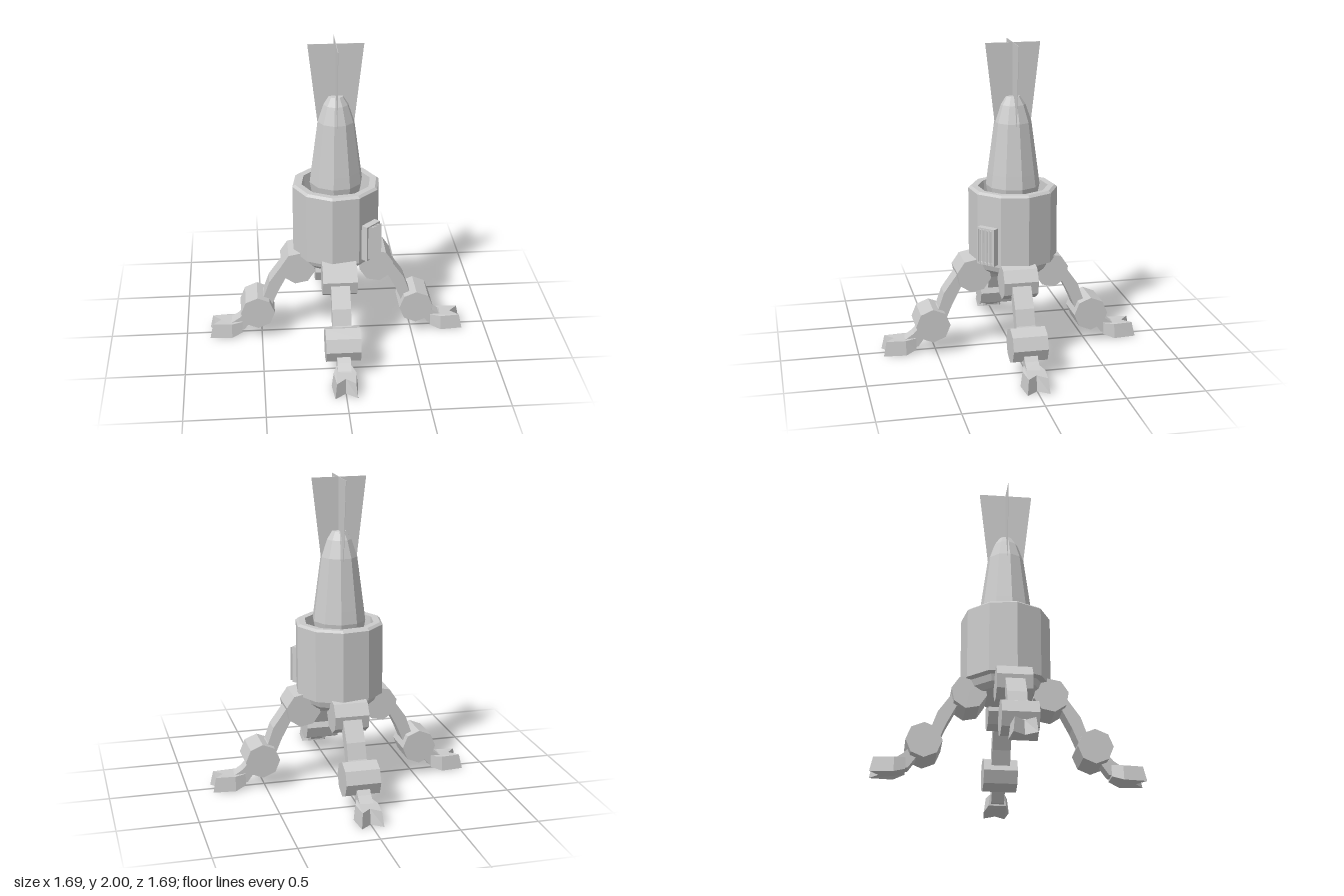
import * as THREE from 'three';

const grey = new THREE.MeshStandardMaterial({ color: 0xcccccc, flatShading: true, side: THREE.DoubleSide });
const START = THREE.MathUtils.degToRad(27);

function add(parent, name, geometry) {
  const mesh = new THREE.Mesh(geometry, grey);
  mesh.name = name;
  parent.add(mesh);
  return mesh;
}

const toVectors = (points) => points.map(([x, y]) => new THREE.Vector2(x, y));

// Ten-sided turned part
const turned = (points) => new THREE.LatheGeometry(toVectors(points), 10, START);

// Flat outline with a thickness, centred on z = 0
function slab(points, depth) {
  const geometry = new THREE.ExtrudeGeometry(new THREE.Shape(toVectors(points)), { depth, bevelEnabled: false });
  return geometry.translate(0, 0, -depth / 2);
}

// Eight-sided joint lying across the leg
const joint = (x, y, turn) =>
  new THREE.CylinderGeometry(0.112, 0.112, 0.22, 8).rotateX(Math.PI / 2).rotateZ(turn).translate(x, y, 0);

// Notched foot with a raised heel and a toe that leans back
function footGeometry() {
  const geometry = slab([
    [0.63, -0.058], [0.70, -0.083], [0.845, -0.07], [0.79, 0],
    [0.845, 0.07], [0.70, 0.083], [0.63, 0.058],
  ], 0.095).rotateX(-Math.PI / 2).translate(0, 0.0475, 0);
  const p = geometry.attributes.position;
  for (let i = 0; i < p.count; i++) {
    const x = p.getX(i), top = p.getY(i) > 0.05;
    if (x < 0.65) p.setY(i, top ? 0.1 : 0.025);
    if (x > 0.75 && top) p.setX(i, x - 0.02);
    if (top) p.setZ(i, p.getZ(i) * 0.85);
  }
  return geometry;
}

function createLeg() {
  const leg = new THREE.Group();
  add(leg, 'hipJoint', joint(0.255, 0.522, 0.2));
  add(leg, 'upperLink', slab([
    [0.27, 0.47], [0.33, 0.44], [0.39, 0.325], [0.43, 0.23], [0.5, 0.2],
    [0.5, 0.27], [0.48, 0.3], [0.445, 0.4], [0.36, 0.52], [0.28, 0.55],
  ], 0.12));
  add(leg, 'kneeJoint', joint(0.525, 0.198, 0));
  add(leg, 'ankleLink', slab([
    [0.55, 0.13], [0.615, 0.04], [0.70, 0.02], [0.72, 0.09], [0.69, 0.1], [0.645, 0.13], [0.6, 0.18],
  ], 0.085));
  add(leg, 'foot', footGeometry());
  return leg;
}

function createVent() {
  const vent = new THREE.Group();
  vent.name = 'ventPanel';
  add(vent, 'ventBack', new THREE.BoxGeometry(0.13, 0.24, 0.03)).position.z = 0.28;
  // Frame around the louvres
  for (const s of [-1, 1]) {
    add(vent, 'ventFrameSide', new THREE.BoxGeometry(0.012, 0.24, 0.03)).position.set(s * 0.059, 0, 0.3);
    add(vent, 'ventFrameEnd', new THREE.BoxGeometry(0.13, 0.012, 0.03)).position.set(0, s * 0.114, 0.3);
  }
  // Angled louvres
  for (let i = 0; i < 4; i++) {
    const louvre = add(vent, 'louvre', new THREE.BoxGeometry(0.055, 0.225, 0.005));
    louvre.position.set(-0.042 + i * 0.026, 0, 0.316);
    louvre.rotation.y = -Math.PI / 4;
  }
  vent.position.y = 0.75;
  vent.rotation.y = Math.PI / 4;
  return vent;
}

export function createModel() {
  const model = new THREE.Group();
  model.name = 'walkingLauncher';

  const upper = new THREE.Group();
  upper.name = 'upperBody';
  upper.position.z = -0.02;
  model.add(upper);

  // Open drum with a rim and a sunken floor
  add(upper, 'drum', turned([
    [0, 0.53], [0.2, 0.53], [0.235, 0.56], [0.25, 0.6], [0.285, 0.61],
    [0.285, 1.068], [0.268, 1.082], [0.225, 1.08], [0.215, 0.95], [0, 0.95],
  ]));

  // Tapered shell standing in the drum
  add(upper, 'shell', turned([
    [0.145, 0.95], [0.172, 1.09], [0.162, 1.17], [0.118, 1.5], [0.08, 1.61], [0.046, 1.662], [0, 1.664],
  ]));

  // Crossed tail fins, wider at the top
  for (let i = 0; i < 2; i++) {
    const fin = add(upper, 'tailFin', slab([[-0.1, 1.35], [0.1, 1.35], [0.175, 2], [-0.175, 2]], 0.003));
    fin.rotation.y = i * Math.PI / 2;
  }

  upper.add(createVent());

  // Four legs, one on each side
  ['leftLeg', 'backLeg', 'rightLeg', 'frontLeg'].forEach((name, i) => {
    const leg = createLeg();
    leg.name = name;
    leg.rotation.y = i * Math.PI / 2;
    model.add(leg);
  });

  return model;
}
